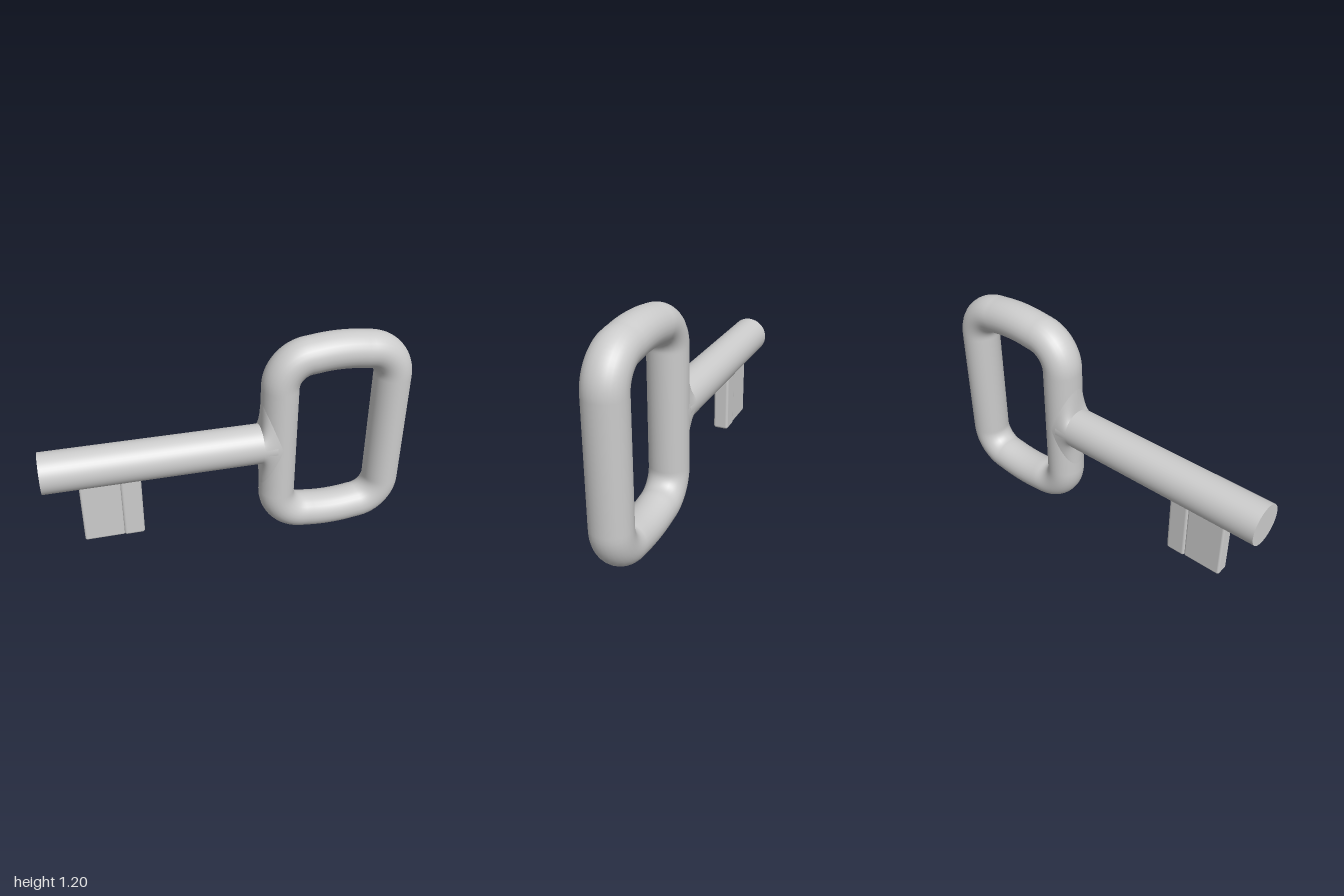
import * as THREE from 'three';
import { RoundedBoxGeometry } from 'three/addons/geometries/RoundedBoxGeometry.js';

const RING = { left: 0.27, right: 0.9, bottom: 0.105, top: 1.11, corner: 0.165, rx: 0.1, rz: 0.108 };
const SHAFT = { y: 0.6, r: 0.11, start: -1, end: 0.24 };

// Centre line of the handle: a rounded rectangle with slightly bowed ends
function handlePath() {
  const { left: l, right: r, bottom: b, top: t, corner: c } = RING;
  const bow = 0.012, mid = (l + r) / 2;
  const s = new THREE.Shape();
  s.moveTo(l, SHAFT.y);
  s.lineTo(l, b + bow + c);
  s.absarc(l + c, b + bow + c, c, Math.PI, Math.PI * 1.5, false);
  s.quadraticCurveTo(mid, b - bow, r - c, b + bow);
  s.absarc(r - c, b + bow + c, c, -Math.PI / 2, 0, false);
  s.lineTo(r, t - bow - c);
  s.absarc(r - c, t - bow - c, c, 0, Math.PI / 2, false);
  s.quadraticCurveTo(mid, t + bow, l + c, t - bow);
  s.absarc(l + c, t - bow - c, c, Math.PI / 2, Math.PI, false);
  s.lineTo(l, SHAFT.y);
  const pts = s.getSpacedPoints(100).slice(0, -1);
  return new THREE.CatmullRomCurve3(pts.map(p => new THREE.Vector3(p.x, p.y, 0)), true);
}

// Flared skin from the round shaft end onto the side of the handle
function collarGeometry() {
  const around = 48, steps = 8, pos = [], index = [];
  for (let j = 0; j <= steps; j++) {
    const s = j / steps;
    for (let i = 0; i <= around; i++) {
      const a = (i / around) * Math.PI * 2, c = Math.cos(a), n = Math.sin(a);
      const xEnd = RING.left - RING.rx * Math.abs(c);
      pos.push(
        THREE.MathUtils.lerp(0.165, xEnd, s),
        SHAFT.y + c * THREE.MathUtils.lerp(SHAFT.r, 0.25, s * (0.5 + 0.5 * s)),
        n * THREE.MathUtils.lerp(SHAFT.r, RING.rz, s)
      );
    }
  }
  const row = around + 1;
  for (let j = 0; j < steps; j++) {
    for (let i = 0; i < around; i++) {
      const p = j * row + i;
      index.push(p, p + row, p + 1, p + 1, p + row, p + row + 1);
    }
  }
  const g = new THREE.BufferGeometry();
  g.setAttribute('position', new THREE.Float32BufferAttribute(pos, 3));
  g.setIndex(index);
  g.computeVertexNormals();
  return g;
}

export function createModel() {
  const model = new THREE.Group();
  model.name = 'key';
  const metal = new THREE.MeshStandardMaterial({ color: 0xcccccc });
  const thin = new THREE.MeshStandardMaterial({ color: 0xcccccc, side: THREE.DoubleSide });
  const add = (name, geometry, material = metal) => {
    const mesh = new THREE.Mesh(geometry, material);
    mesh.name = name;
    model.add(mesh);
    return mesh;
  };

  // Handle loop
  const ring = new THREE.TubeGeometry(handlePath(), 160, RING.rx, 28, true);
  ring.scale(1, 1, RING.rz / RING.rx);
  add('handle', ring);

  // Shaft and its flared joint
  const length = SHAFT.end - SHAFT.start;
  const shaft = new THREE.CylinderGeometry(SHAFT.r, SHAFT.r, length, 48);
  shaft.rotateZ(Math.PI / 2);
  add('shaft', shaft).position.set((SHAFT.start + SHAFT.end) / 2, SHAFT.y, 0);
  add('collar', collarGeometry(), thin);

  // Key bit: a broad plate beside a slightly thicker post
  const bit = (name, x0, x1, depth, bevel) => {
    const y0 = 0.15, y1 = 0.58;
    const g = new RoundedBoxGeometry(x1 - x0, y1 - y0, depth, 3, bevel);
    add(name, g).position.set((x0 + x1) / 2, (y0 + y1) / 2, 0);
  };
  bit('bitPlate', -0.815, -0.598, 0.076, 0.012);
  bit('bitPost', -0.602, -0.49, 0.09, 0.015);

  return model;
}
